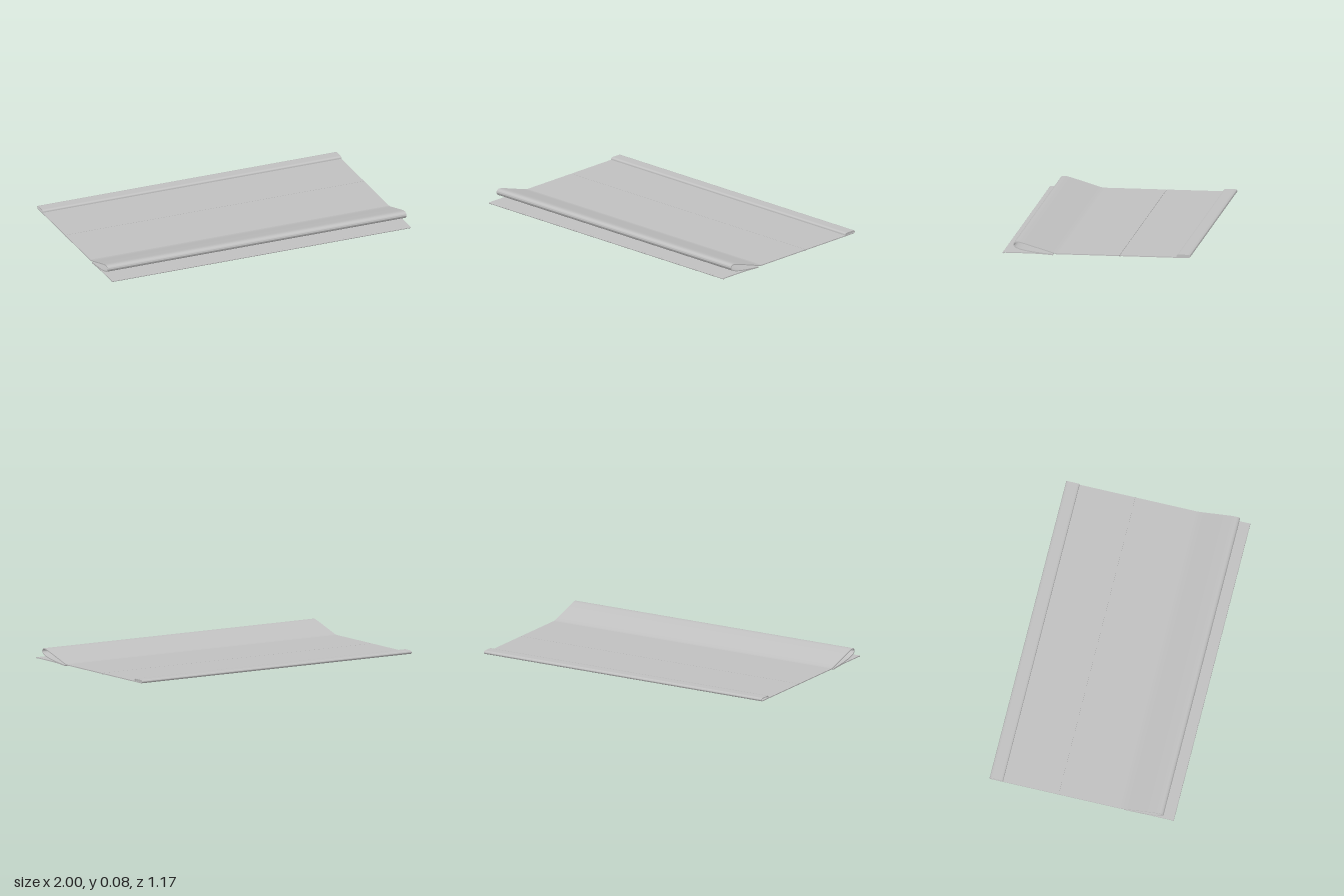
import * as THREE from 'three';
import { toCreasedNormals } from 'three/addons/utils/BufferGeometryUtils.js';

const THICK = 0.006;
const steel = new THREE.MeshStandardMaterial({ color: 0xc0c0c0 });
steel.name = 'light grey sheet';

// Extrudes a (z, y) outline along the width, from x0 to x1
function extrudeAcross(outline, x0, x1) {
  const shape = new THREE.Shape(outline.map(p => new THREE.Vector2(-p.x, p.y)));
  const geo = new THREE.ExtrudeGeometry(shape, { depth: x1 - x0, bevelEnabled: false });
  geo.rotateY(Math.PI / 2);
  geo.translate(x0, 0, 0);
  return toCreasedNormals(geo, 0.6);
}

// Thickens a (z, y) centre line into a closed strip outline
function stripOutline(line) {
  const above = [], below = [];
  line.forEach((p, i) => {
    const a = line[Math.max(i - 1, 0)], b = line[Math.min(i + 1, line.length - 1)];
    const d = b.clone().sub(a).normalize().multiplyScalar(THICK / 2);
    above.push(new THREE.Vector2(p.x - d.y, p.y + d.x));
    below.push(new THREE.Vector2(p.x + d.y, p.y - d.x));
  });
  return above.concat(below.reverse());
}

const smooth = (pts, n) =>
  new THREE.SplineCurve(pts.map(p => new THREE.Vector2(...p))).getPoints(n);

export function createModel() {
  const group = new THREE.Group();
  group.name = 'foldedSheet';
  const add = (name, geo) => {
    const mesh = new THREE.Mesh(geo, steel);
    mesh.name = name;
    group.add(mesh);
  };
  const strip = (name, line) => add(name, extrudeAcross(stripOutline(line), -1, 1));

  // Flat panels, meeting at a fine seam
  const flat = (z0, z1) => [new THREE.Vector2(z0, 0.011), new THREE.Vector2(z1, 0.011)];
  strip('rearPanel', flat(-0.572, -0.146));
  strip('middlePanel', flat(-0.144, 0.25));
  const seam = new THREE.BoxGeometry(2, 0.003, 0.006);
  seam.translate(0, 0.007, -0.145);
  add('panelSeam', seam);

  // Teardrop fold rising from the panel and returning beneath itself
  strip('frontFold', smooth([
    [0.245, 0.011], [0.27, 0.016], [0.33, 0.034], [0.40, 0.055], [0.455, 0.071],
    [0.485, 0.0775], [0.503, 0.0765], [0.513, 0.068], [0.513, 0.056], [0.502, 0.045],
    [0.475, 0.034], [0.43, 0.024], [0.38, 0.017], [0.32, 0.0105], [0.274, 0.0065],
  ], 84));

  // Front flap, tucked in under the fold
  strip('frontFlap', smooth([[0.273, 0.0045], [0.32, 0.0075], [0.37, 0.01], [0.42, 0.011]], 10)
    .concat(new THREE.Vector2(0.579, 0.011)));

  // Beads at the free edge and at the tucked edge
  for (const [name, z, y, r] of [['frontBead', 0.578, 0.009, 0.005], ['foldBead', 0.274, 0.005, 0.005]]) {
    const bead = new THREE.CylinderGeometry(r, r, 2, 12);
    bead.rotateZ(Math.PI / 2);
    bead.translate(0, y, z);
    add(name, bead);
  }

  // Rolled hem along the back edge
  strip('rearHem', smooth([
    [-0.56, 0.011], [-0.574, 0.0115], [-0.580, 0.0155], [-0.580, 0.0215], [-0.574, 0.0255],
    [-0.56, 0.026], [-0.53, 0.026], [-0.51, 0.0255], [-0.503, 0.022], [-0.501, 0.011],
  ], 54));

  // Plug closing one end of the hem
  const plug = [
    [-0.502, 0.01], [-0.503, 0.022], [-0.51, 0.026], [-0.574, 0.026],
    [-0.581, 0.021], [-0.581, 0.015], [-0.574, 0.01],
  ].map(p => new THREE.Vector2(...p));
  add('hemPlug', extrudeAcross(plug, 0.985, 0.997));

  return group;
}
